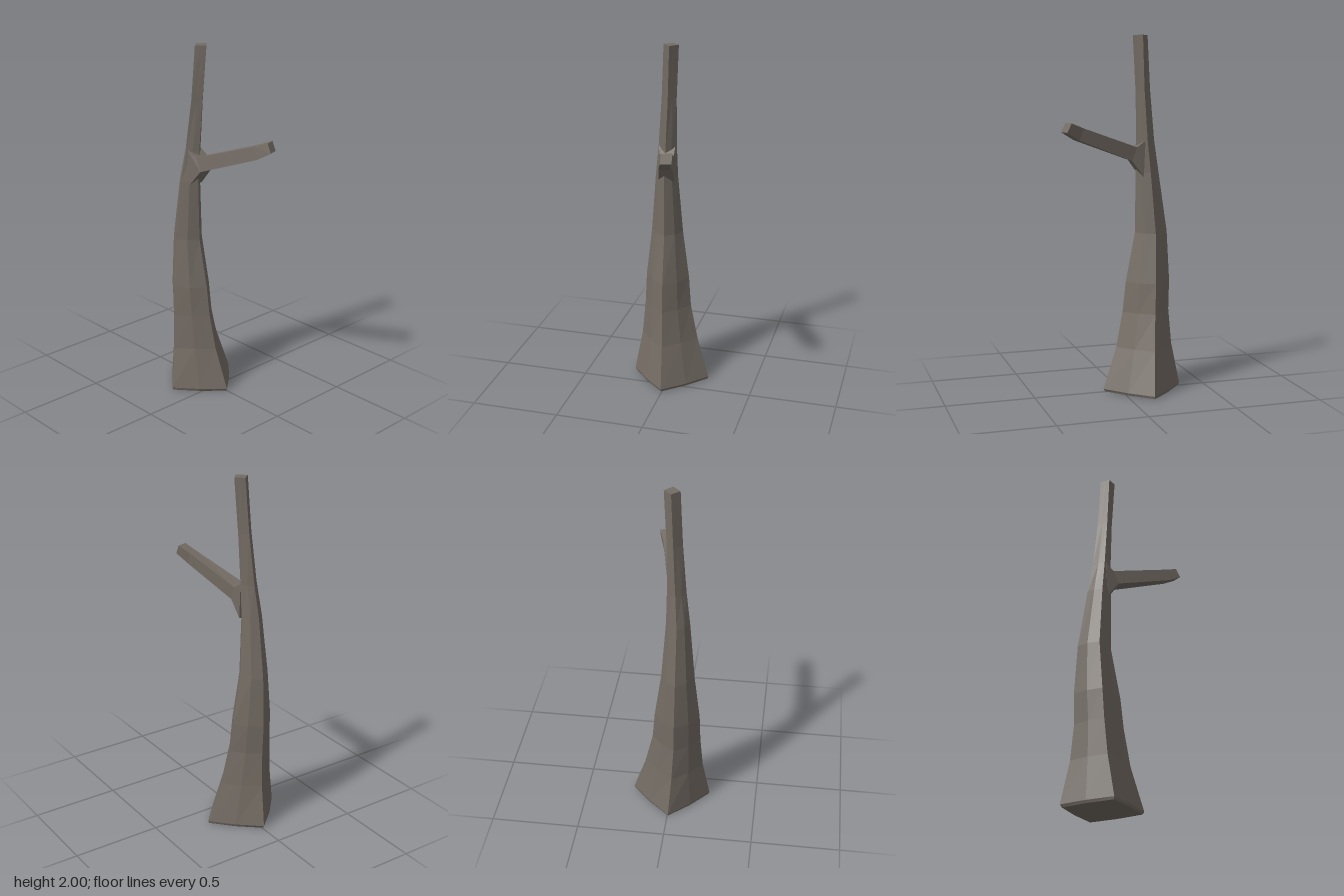
import * as THREE from 'three';

// Skin a stack of equal-sized point rings (counter-clockwise seen from the end), capped at both ends.
function loft(rings) {
  const n = rings[0].length;
  const index = [];
  for (let i = 0; i < rings.length - 1; i++) {
    for (let j = 0; j < n; j++) {
      const a = i * n + j, b = i * n + (j + 1) % n;
      index.push(a, b, b + n, a, b + n, a + n);
    }
  }
  const last = (rings.length - 1) * n;
  for (let j = 1; j < n - 1; j++) {
    index.push(0, j + 1, j);
    index.push(last, last + j, last + j + 1);
  }
  const geometry = new THREE.BufferGeometry();
  geometry.setAttribute('position', new THREE.Float32BufferAttribute(rings.flat(2), 3));
  geometry.setIndex(index);
  const flat = geometry.toNonIndexed();
  flat.computeVertexNormals();
  return flat;
}

// Diamond trunk section: four corners plus slightly bulged mid-side points.
function trunkRing([y, left, right, back, front, ridgeX, ridgeZ, bulge]) {
  const corners = [[right, ridgeZ], [ridgeX, back], [left, ridgeZ], [ridgeX, front]];
  const ring = [];
  corners.forEach(([x, z], i) => {
    const [nx, nz] = corners[(i + 1) % 4];
    ring.push([x, y, z]);
    ring.push([
      ridgeX + ((x + nx) / 2 - ridgeX) * bulge, y,
      ridgeZ + ((z + nz) / 2 - ridgeZ) * bulge,
    ]);
  });
  return ring;
}

// Four-sided branch section, leaning so that its +x side sits further back.
function branchRing([left, right, topY, topZ, bottomY, bottomZ, skew]) {
  return [
    [right, bottomY, bottomZ - skew], [right, topY, topZ - skew],
    [left, topY, topZ], [left, bottomY, bottomZ],
  ];
}

export function createModel() {
  const group = new THREE.Group();
  group.name = 'deadTree';
  const bark = new THREE.MeshStandardMaterial({ color: 0x746c64, flatShading: true });

  // Trunk: y, left x, right x, back z, front z, ridge x, ridge z, bulge
  const trunk = new THREE.Mesh(loft([
    [0, -0.22, 0.22, -0.345, 0.09, -0.005, -0.13, 1.06],
    [0.015, -0.225, 0.225, -0.355, 0.1, -0.005, -0.13, 1.06],
    [0.25, -0.185, 0.15, -0.31, 0.02, -0.02, -0.155, 1.1],
    [0.45, -0.17, 0.105, -0.295, -0.02, -0.03, -0.17, 1.12],
    [0.62, -0.165, 0.09, -0.3, -0.04, -0.033, -0.18, 1.15],
    [0.9, -0.135, 0.05, -0.285, -0.095, -0.037, -0.19, 1.2],
    [1.24, -0.105, 0.025, -0.235, -0.1, -0.04, -0.168, 1.2],
    [1.42, -0.083, 0.022, -0.205, -0.1, -0.03, -0.15, 1.1],
    [1.7, -0.06, 0.025, -0.175, -0.09, -0.015, -0.13, 1],
    [2, -0.045, 0.04, -0.155, -0.07, -0.002, -0.115, 1],
  ].map(trunkRing)), bark);
  trunk.name = 'trunk';
  group.add(trunk);

  // Branch: left x, right x, top y, top z, bottom y, bottom z, skew
  const branch = new THREE.Mesh(loft([
    [-0.08, 0.015, 1.42, -0.14, 1.22, -0.13, 0],
    [-0.06, 0.02, 1.385, -0.09, 1.31, -0.06, 0],
    [0.037, 0.092, 1.5, 0.255, 1.435, 0.28, 0.02],
    [0.063, 0.12, 1.53, 0.33, 1.48, 0.355, 0.02],
  ].map(branchRing)), bark);
  branch.name = 'branch';
  group.add(branch);

  return group;
}
